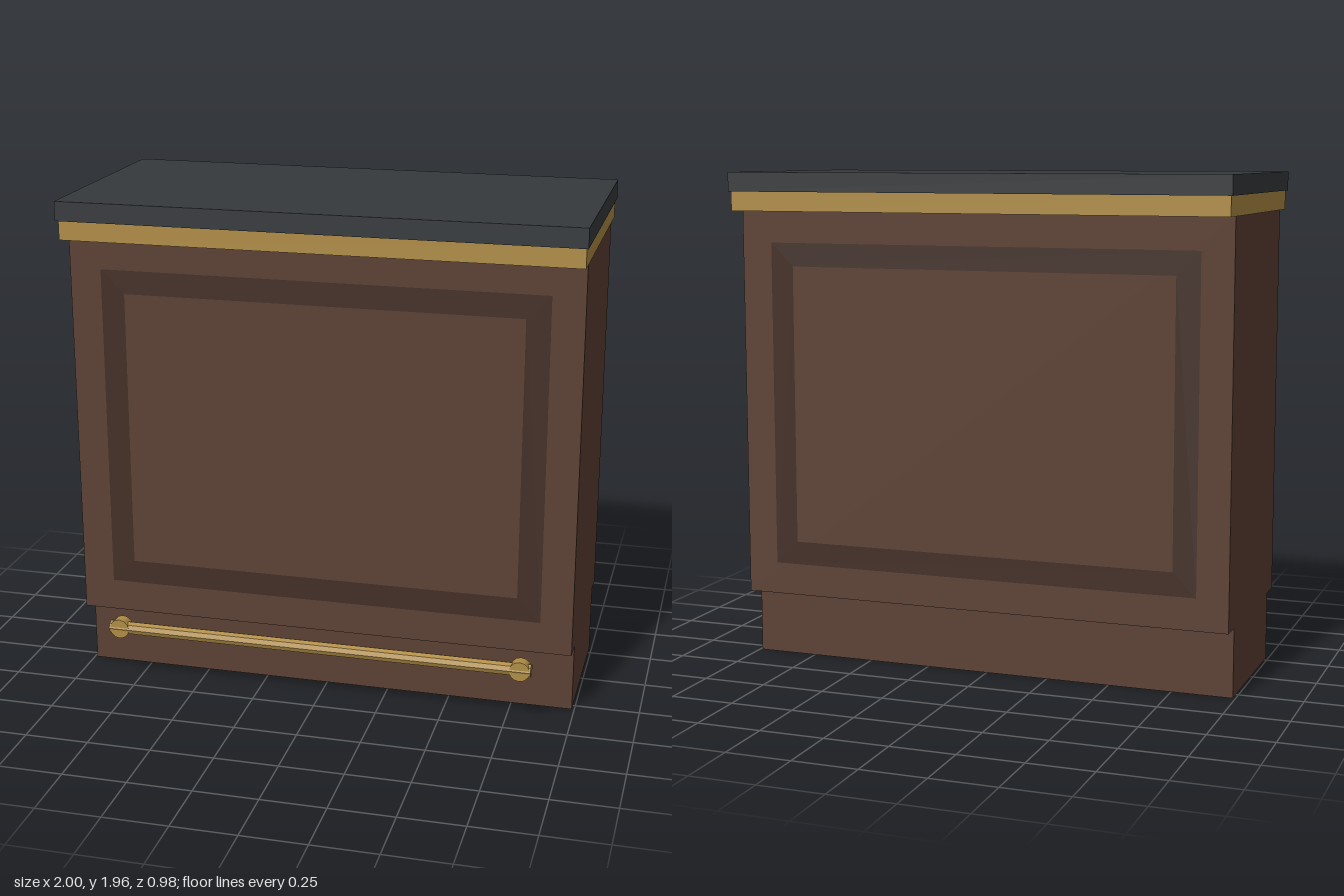
import * as THREE from 'three';

const paint = (color, flatShading = false) => {
  const m = new THREE.MeshStandardMaterial({ flatShading });
  m.color.set(color);
  return m;
};

export function createModel() {
  const group = new THREE.Group();
  const wood = paint(0x5c4033), darkWood = paint(0x432f26);
  const stone = paint(0x36393c), brass = paint(0xb08d45), brassFaceted = paint(0xb08d45, true);

  const add = (name, geometry, material, x = 0, y = 0, z = 0) => {
    const mesh = new THREE.Mesh(geometry, material);
    mesh.name = name;
    mesh.position.set(x, y, z);
    group.add(mesh);
    return mesh;
  };

  // Stacked blocks: name, material, width, bottom, top, back, front
  const blocks = [
    ['plinth', wood, 1.98, 0, 0.27, -0.3, 0.283],
    ['cabinetBody', wood, 1.98, 0.27, 1.805, -0.39, 0.373],
    ['trimBand', brass, 1.985, 1.805, 1.88, -0.477, 0.462],
    ['counterTop', stone, 2, 1.88, 1.955, -0.487, 0.476],
  ];
  for (const [name, material, w, y0, y1, z0, z1] of blocks) {
    add(name, new THREE.BoxGeometry(w, y1 - y0, z1 - z0), material, 0, (y0 + y1) / 2, (z0 + z1) / 2);
  }

  // Inlaid rectangular frame on the front and back faces
  const rectangle = (path, w, h) =>
    path.moveTo(-w, -h).lineTo(w, -h).lineTo(w, h).lineTo(-w, h).closePath();
  const frame = rectangle(new THREE.Shape(), 0.866, 0.642);
  frame.holes.push(rectangle(new THREE.Path(), 0.774, 0.55));
  const inlay = new THREE.ShapeGeometry(frame);
  add('frontFrame', inlay, darkWood, 0, 1.038, 0.375);
  add('backFrame', inlay, darkWood, 0, 1.038, -0.392).rotation.y = Math.PI;

  // Foot rail with a round fitting near each end
  const railY = 0.234, railZ = 0.463;
  const rail = new THREE.CylinderGeometry(0.026, 0.026, 1.7, 8).rotateZ(Math.PI / 2);
  add('footRail', rail, brassFaceted, 0, railY, railZ);
  const fitting = new THREE.CylinderGeometry(0.04, 0.04, 0.047, 12).rotateX(Math.PI / 2);
  for (const side of [-1, 1]) {
    add(side > 0 ? 'leftRailFitting' : 'rightRailFitting', fitting, brassFaceted, side * 0.807, railY, railZ);
  }

  return group;
}
